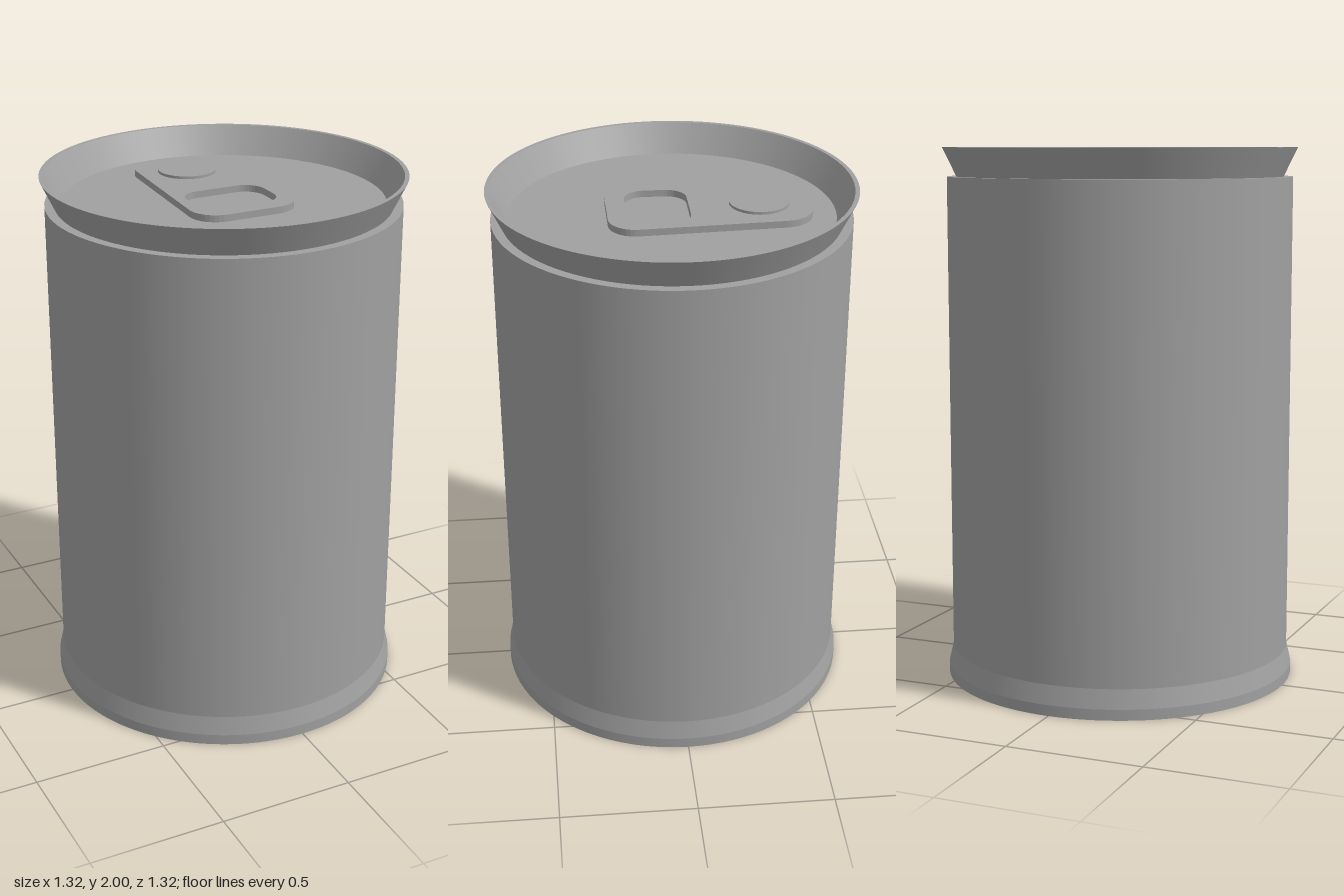
import * as THREE from 'three';

const SEGMENTS = 96;

export function createModel() {
  const metal = new THREE.MeshStandardMaterial({ color: 0xa0a0a0 });
  metal.name = 'grey metal';
  const can = new THREE.Group();
  can.name = 'can';

  const add = (name, geometry, parent = can) => {
    const mesh = new THREE.Mesh(geometry, metal);
    mesh.name = name;
    parent.add(mesh);
    return mesh;
  };

  // Each profile run is turned separately, so the edges between runs stay crisp.
  const turn = (name, ...points) => {
    const group = new THREE.Group();
    group.name = name;
    for (let i = 1; i < points.length; i++) {
      const run = [points[i - 1], points[i]].map(([r, y]) => new THREE.Vector2(r, y));
      add(name + 'Face', new THREE.LatheGeometry(run, SEGMENTS), group);
    }
    can.add(group);
  };

  // Flat disc closing the can, facing up or down
  const disc = (name, radius, y, facing) => {
    const geometry = new THREE.CircleGeometry(radius, SEGMENTS).rotateX(-facing * Math.PI / 2);
    add(name, geometry).position.y = y;
  };

  disc('recessedBase', 0.585, 0.11, -1);
  turn('bottomRim', [0.585, 0.11], [0.645, 0], [0.661, 0], [0.661, 0.04], [0.645, 0.11]);
  turn('body', [0.645, 0.11], [0.645, 1.893], [0.61, 1.893]);
  turn('topRim', [0.61, 1.893], [0.661, 2], [0.645, 2], [0.585, 1.895]);
  disc('lid', 0.585, 1.895, 1);

  // Rounded trapezoid: half widths at the back and front, in shape space y = -z
  const roundedOutline = (path, backHalf, frontHalf, backZ, frontZ, radius) => {
    const corners = [[frontHalf, -frontZ], [backHalf, -backZ], [-backHalf, -backZ], [-frontHalf, -frontZ]]
      .map(([x, y]) => new THREE.Vector2(x, y));
    const k = 0.5523;
    corners.forEach((corner, i) => {
      const before = corners[(i + 3) % 4].clone().sub(corner).normalize();
      const after = corners[(i + 1) % 4].clone().sub(corner).normalize();
      const at = (dir, d) => corner.clone().addScaledVector(dir, d);
      const start = at(before, radius), end = at(after, radius);
      const c1 = at(before, radius * (1 - k)), c2 = at(after, radius * (1 - k));
      if (i === 0) path.moveTo(start.x, start.y);
      else path.lineTo(start.x, start.y);
      path.bezierCurveTo(c1.x, c1.y, c2.x, c2.y, end.x, end.y);
    });
    path.closePath();
    return path;
  };

  // Pull tab with its finger hole
  const tabShape = roundedOutline(new THREE.Shape(), 0.165, 0.205, -0.495, 0.235, 0.105);
  tabShape.holes.push(roundedOutline(new THREE.Path(), 0.155, 0.155, -0.06, 0.165, 0.075));
  const tabGeometry = new THREE.ExtrudeGeometry(tabShape, { depth: 0.025, bevelEnabled: false, curveSegments: 10 });
  add('pullTab', tabGeometry.rotateX(-Math.PI / 2)).position.y = 1.895;

  // Rivet holding the tab
  add('rivet', new THREE.CylinderGeometry(0.108, 0.108, 0.035, 48)).position.set(0, 1.9125, -0.312);

  return can;
}
